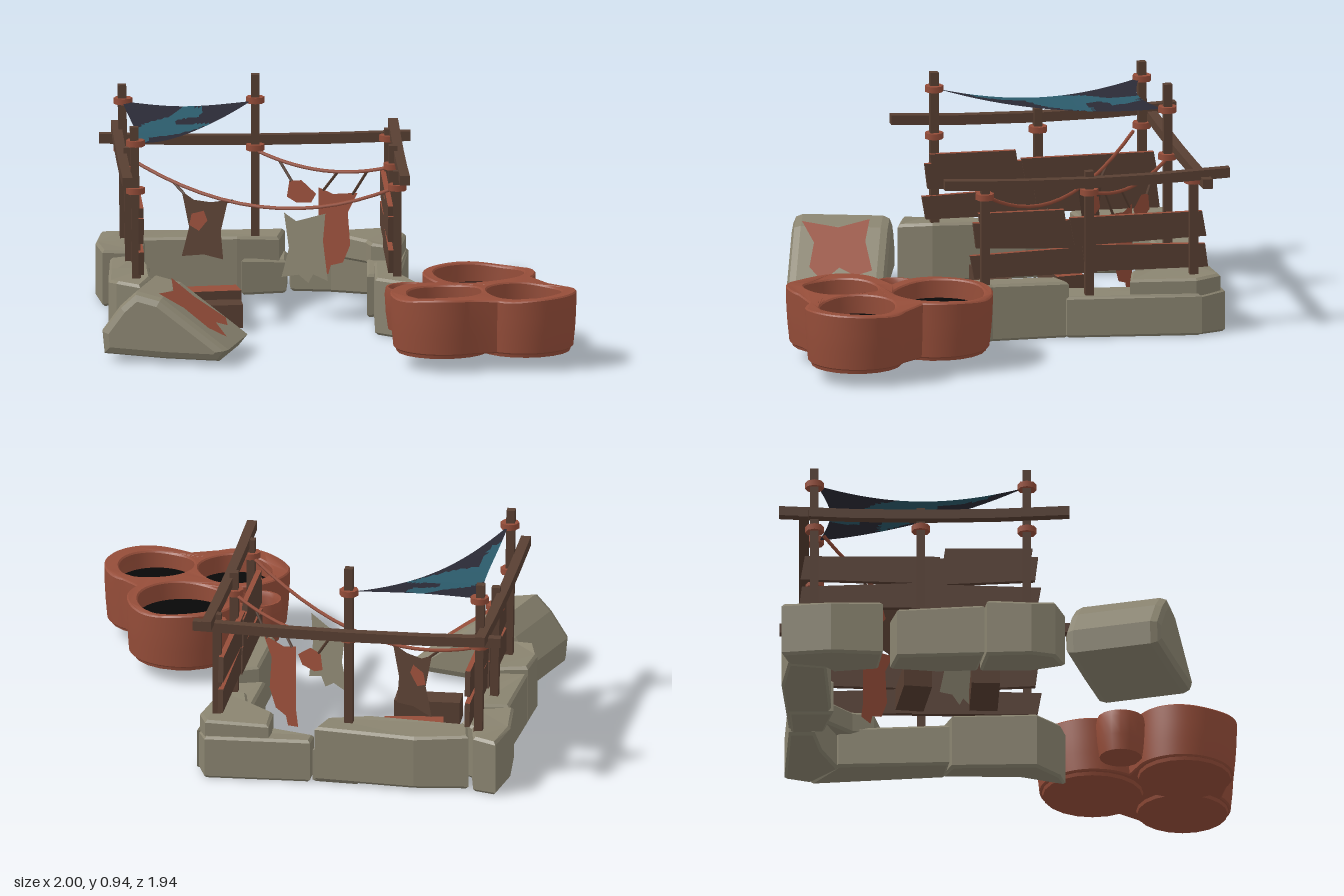
import * as THREE from 'three';
import { toCreasedNormals } from 'three/addons/utils/BufferGeometryUtils.js';

const mat = (name, color, side = THREE.FrontSide) => {
  const m = new THREE.MeshStandardMaterial({ color, side });
  m.name = name;
  return m;
};

export function createModel() {
  const root = new THREE.Group();
  const D = THREE.DoubleSide;
  const stone = mat('stone', 0x8a8470, D), wood = mat('darkWood', 0x583f32, D);
  const clay = mat('redClay', 0x954d39, D), black = mat('blackLiquid', 0x080808);
  const teal = mat('tealCloth', 0x2b5a6a, D), navy = mat('navyCloth', 0x2a2a35, D);

  const add = (name, geo, material, parent = root) => {
    const m = new THREE.Mesh(geo, material);
    m.name = name;
    parent.add(m);
    return m;
  };
  const toShape = (pts) => new THREE.Shape(pts.map(([x, y]) => new THREE.Vector2(x, y)));
  const V = (x, y, z) => new THREE.Vector3(x, y, z);
  const warp = (geo, fn) => {
    const p = geo.attributes.position, v = V(0, 0, 0);
    for (let i = 0; i < p.count; i++) {
      fn(v.fromBufferAttribute(p, i));
      p.setXYZ(i, v.x, v.y, v.z);
    }
    geo.computeVertexNormals();
    return geo;
  };

  // Rough-hewn wall stones: bevelled plans, slightly uneven on top
  const block = (name, plan, y0, y1, b = 0.011) => {
    const geo = new THREE.ExtrudeGeometry(toShape(plan.map(([x, z]) => [x, -z])), {
      depth: y1 - y0 - 2 * b, bevelSize: b, bevelThickness: b, bevelOffset: -b, bevelSegments: 1,
    });
    geo.rotateX(-Math.PI / 2).translate(0, y0 + b, 0);
    add(name, warp(geo, (v) => {
      if (v.y > y0 + 0.05) v.y += 0.007 * Math.sin(v.x * 17 + v.z * 23);
    }), stone);
  };
  block('backStoneRight', [[-0.83, -0.93], [-0.6, -0.96], [-0.17, -0.93], [-0.2, -0.78], [-0.38, -0.75], [-0.8, -0.77]], 0.01, 0.245);
  block('backStoneFoot', [[-0.36, -0.93], [-0.16, -0.92], [-0.17, -0.78], [-0.36, -0.74]], 0, 0.15);
  block('backStoneLeft', [[-0.15, -0.93], [0.3, -0.95], [0.34, -0.84], [0.2, -0.72], [0.02, -0.79], [-0.15, -0.82]], 0, 0.18);
  block('cornerStone', [[0.03, -0.92], [0.3, -0.93], [0.34, -0.82], [0.3, -0.54], [0.18, -0.57], [0.16, -0.66], [0.03, -0.79]], 0.15, 0.25);
  block('leftWallStoneBack', [[0.17, -0.72], [0.35, -0.84], [0.29, -0.27], [0.15, -0.25]], 0, 0.185);
  block('leftWallStoneFront', [[0.18, -0.24], [0.28, -0.28], [0.29, 0.05], [0.36, 0.24], [0.28, 0.22], [0.17, 0.12]], 0, 0.25);
  block('rightWallStoneBack', [[-0.95, -0.96], [-0.85, -0.93], [-0.82, -0.78], [-0.77, -0.74], [-0.8, -0.55], [-0.96, -0.53], [-0.98, -0.75]], 0, 0.24);
  block('rightWallStoneMiddle', [[-0.93, -0.47], [-0.8, -0.5], [-0.77, -0.3], [-0.78, -0.13], [-0.95, -0.1]], 0, 0.23);
  block('rightWallStoneFront', [[-0.95, -0.09], [-0.78, -0.12], [-0.78, 0.1], [-0.83, 0.24], [-0.93, 0.2], [-0.96, 0.1]], 0, 0.25);

  // Posts with lashed collars
  const posts = [
    [-0.86, -0.82, 0.9, 0.83], [-0.845, 0.08, 0.9, 0.83], [-0.3, -0.82, 0.94, 0.83],
    [-0.855, -0.37, 0.72, 0.63], [0.265, 0.08, 0.7, 0.63], [0.265, -0.37, 0.72, 0.63], [0.265, -0.82, 0.7, 0.66],
  ];
  const collar = (x, y, z) => add('collar', new THREE.CylinderGeometry(0.04, 0.04, 0.026, 8).toNonIndexed(), clay).position.set(x, y, z);
  for (const [x, z, top, ring] of posts) {
    const h = top - 0.18;
    const post = add('post', new THREE.BoxGeometry(0.036, h, 0.036), wood);
    post.position.set(x, 0.18 + h / 2, z);
    post.rotation.z = x < -0.5 ? 0.015 : 0;
    collar(x, ring, z);
    if (top > 0.8) collar(x, 0.625, z);
  }

  // Sagging top beams
  const beam = (name, len, sag) => {
    const geo = new THREE.BoxGeometry(0.042, 0.042, len, 1, 1, 4);
    return add(name, warp(geo, (v) => { v.y += sag * ((2 * v.z / len) ** 2 - 0.5); }), wood);
  };
  beam('leftBeam', 1.23, 0.018).position.set(0.29, 0.685, -0.355);
  beam('rightBeam', 1.23, 0.018).position.set(-0.885, 0.685, -0.355);
  const rear = beam('backBeam', 1.32, 0.012);
  rear.rotation.y = Math.PI / 2;
  rear.position.set(-0.3, 0.655, -0.865);

  // Side planks: z start, z end, bottom, top, tilt; ends taper unevenly
  const plankRows = [
    [0.13, -0.4, 0.265, 0.38, 0.02], [-0.35, -0.88, 0.272, 0.388, -0.02],
    [0.12, -0.37, 0.385, 0.51, -0.03], [-0.3, -0.87, 0.395, 0.52, 0.02], [0.1, -0.27, 0.5, 0.552, -0.01],
  ];
  const edged = [wood, wood, clay, wood, wood, wood];
  for (const [side, x] of [['left', 0.236], ['right', -0.822]]) {
    plankRows.forEach(([za, zb, y0, y1, tilt], i) => {
      const len = za - zb;
      const geo = warp(new THREE.BoxGeometry(0.022, y1 - y0, len), (v) => {
        if (v.z * (i % 2 ? -1 : 1) > 0) v.y *= 0.87;
        v.z += v.y * 0.15;
      });
      const p = add(side + 'Plank', geo, edged);
      p.position.set(x + (i % 2) * 0.006, (y0 + y1) / 2, (za + zb) / 2);
      p.rotation.x = tilt;
    });
  }

  // Low benches
  const bench = (name, x, z, w, d, turn, m) => {
    const b = add(name, new THREE.BoxGeometry(w, 0.1, d), m);
    b.position.set(x, 0.05, z);
    b.rotation.y = turn;
  };
  bench('frontBench', -0.525, -0.1, 0.28, 0.12, 0.04, wood);
  bench('backBench', -0.51, -0.4, 0.25, 0.12, 0.15, edged);

  // Slack ropes across the yard
  const rope = (name, a, b, midY, r = 0.008) => {
    const c = a.clone().lerp(b, 0.5);
    c.y = 2 * midY - c.y;
    add(name, new THREE.TubeGeometry(new THREE.QuadraticBezierCurve3(a, c, b), 14, r, 5), clay);
  };
  rope('longRope', V(-0.85, 0.6, -0.78), V(0.25, 0.62, 0.06), 0.46);
  rope('shortRope', V(-0.29, 0.61, -0.81), V(0.25, 0.62, -0.39), 0.565);

  // Hides hanging in the vertical plane below each rope
  const longZ = (x) => -0.78 + (x + 0.85) * 0.764;
  const shortZ = (x) => -0.81 + (x + 0.29) * 0.778;
  const hide = (name, pts, zAt, material, off = 0) => add(name,
    warp(new THREE.ShapeGeometry(toShape(pts)), (v) => { v.z = zAt(v.x) + off; }), material);
  hide('brownHide', [[-0.62, 0.48], [-0.57, 0.45], [-0.5, 0.45], [-0.43, 0.47], [-0.46, 0.33], [-0.45, 0.21], [-0.53, 0.22], [-0.62, 0.2], [-0.59, 0.33]], longZ, wood);
  for (const off of [0.005, -0.005])
    hide('hidePatch', [[-0.58, 0.39], [-0.53, 0.41], [-0.515, 0.37], [-0.55, 0.32], [-0.59, 0.34]], longZ, clay, off);
  hide('greyHide', [[-0.2, 0.45], [-0.15, 0.42], [-0.03, 0.47], [-0.04, 0.35], [-0.02, 0.18], [-0.08, 0.2], [-0.1, 0.16], [-0.14, 0.19], [-0.21, 0.17], [-0.18, 0.3]], longZ, stone);
  hide('redHide', [[-0.04, 0.49], [0.02, 0.47], [0.12, 0.49], [0.08, 0.4], [0.09, 0.26], [0.06, 0.18], [0.01, 0.16], [0, 0.12], [-0.05, 0.13], [-0.04, 0.2], [-0.04, 0.33]], shortZ, clay);
  hide('smallHide', [[-0.16, 0.5], [-0.11, 0.51], [-0.05, 0.46], [-0.07, 0.42], [-0.13, 0.41], [-0.17, 0.43]], shortZ, clay);
  for (const [xa, ya, xb, yb, zAt] of [
    [-0.2, 0.58, -0.15, 0.5, shortZ], [0.04, 0.57, -0.02, 0.48, shortZ], [0.16, 0.59, 0.1, 0.48, shortZ],
    [-0.66, 0.52, -0.61, 0.47, longZ], [-0.41, 0.47, -0.44, 0.46, longZ],
  ]) add('hideString', new THREE.TubeGeometry(new THREE.LineCurve3(V(xa, ya, zAt(xa)), V(xb, yb, zAt(xb))), 1, 0.006, 4), wood);

  // Triangular sail in two cloth colours, sagging along its length
  const A = V(-0.865, 0, -0.81), B = V(-0.32, 0, -0.8), C = V(-0.84, 0, 0.07);
  const G = A.clone().add(B).add(C).divideScalar(3), N = 30;
  const sailPoint = (i, j) => {
    const b = i / N, c = j / N, a = 1 - b - c, s = a * b + b * c + c * a;
    const p = V(0, 0, 0).addScaledVector(A, a).addScaledVector(B, b).addScaledVector(C, c).lerp(G, 0.7 * s);
    p.y = 0.775 + 0.052 * ((p.z + 0.37) / 0.43) ** 2;
    return p;
  };
  const blot = [[-0.83, -0.45], [-0.77, -0.57], [-0.67, -0.64], [-0.61, -0.75], [-0.52, -0.74], [-0.545, -0.64], [-0.64, -0.6],
    [-0.65, -0.535], [-0.5, -0.55], [-0.58, -0.44], [-0.67, -0.35], [-0.77, -0.29], [-0.79, -0.11], [-0.85, -0.04]];
  const inBlot = (x, z) => blot.reduce((inside, [xa, za], i) => {
    const [xb, zb] = blot[(i + 1) % blot.length];
    return (za > z) !== (zb > z) && x < xa + (xb - xa) * (z - za) / (zb - za) ? !inside : inside;
  }, false);
  const cloth = { teal: [], navy: [] };
  const tri = (...p) => {
    const x = (p[0].x + p[1].x + p[2].x) / 3, z = (p[0].z + p[1].z + p[2].z) / 3;
    cloth[inBlot(x, z) ? 'teal' : 'navy'].push(...p);
  };
  for (let i = 0; i < N; i++) for (let j = 0; j < N - i; j++) {
    tri(sailPoint(i, j), sailPoint(i, j + 1), sailPoint(i + 1, j));
    if (i + j < N - 1) tri(sailPoint(i + 1, j), sailPoint(i, j + 1), sailPoint(i + 1, j + 1));
  }
  for (const [name, m] of [['teal', teal], ['navy', navy]]) {
    const geo = new THREE.BufferGeometry().setFromPoints(cloth[name]);
    geo.computeVertexNormals();
    add(name + 'Sail', geo, m);
  }

  // Boulder with a hide drying on its slope
  const boulder = new THREE.Group();
  boulder.name = 'boulder';
  boulder.position.set(-0.69, 0, 0.515);
  boulder.rotation.y = -0.28;
  root.add(boulder);
  const rock = new THREE.ExtrudeGeometry(toShape([[-0.27, 0.03], [0.0, 0.02], [0.23, 0.02], [0.27, 0.07], [-0.02, 0.28], [-0.13, 0.305], [-0.2, 0.24], [-0.28, 0.13]]),
    { depth: 0.34, bevelSize: 0.035, bevelThickness: 0.04, bevelOffset: -0.035, bevelSegments: 2 });
  rock.translate(0, 0, -0.17);
  add('rock', rock, stone, boulder);
  const skin = new THREE.ShapeGeometry(toShape([[-0.05, 0.12], [0.05, 0.11], [0.18, 0.15], [0.205, 0.08], [0.17, 0.01],
    [0.235, -0.056], [0.17, -0.117], [0.06, -0.107], [-0.035, -0.166], [-0.01, -0.01]]));
  skin.rotateX(-Math.PI / 2);
  add('dryingHide', warp(skin, (v) => { v.y = 0.272 - 0.724 * v.x; }), clay, boulder);

  // Three clay vats fused into one body: x, z, radius, arc start and end in degrees, opening x, z, radius
  const vats = [
    [0.6, 0.355, 0.24, -25, 220, 0.6, 0.345, 0.192],
    [0.43, 0.745, 0.222, 125, 300, 0.438, 0.735, 0.158],
    [0.78, 0.735, 0.218, 235, 420, 0.775, 0.73, 0.16],
  ];
  const outline = new THREE.Shape();
  const pool = (x, y, z, r) => {
    const p = add('vatLiquid', new THREE.CircleGeometry(r, 24), black);
    p.rotation.x = -Math.PI / 2;
    p.position.set(x, y, z);
  };
  for (const [x, z, r, from, to, hx, hz, hr] of vats) {
    outline.absarc(x, -z, r, THREE.MathUtils.degToRad(from), THREE.MathUtils.degToRad(to), false);
    outline.holes.push(new THREE.Path().absarc(hx, -hz, hr, 0, Math.PI * 2, true));
    const base = new THREE.CylinderGeometry(r * 0.94, r * 0.88, 0.05, 20);
    add('vatBase', base, clay).position.set(x, 0.085, z);
    pool(hx, 0.235, hz, hr + 0.004);
  }
  const body = new THREE.ExtrudeGeometry(outline, {
    depth: 0.223, steps: 3, curveSegments: 20, bevelSize: 0.006, bevelThickness: 0.006, bevelOffset: -0.006, bevelSegments: 1,
  });
  body.rotateX(-Math.PI / 2).translate(0, 0.081, 0);
  warp(body, (v) => {
    const f = 1 - 0.04 * ((0.31 - v.y) / 0.25) ** 2;
    v.x = 0.6 + (v.x - 0.6) * f;
    v.z = 0.56 + (v.z - 0.56) * f;
    if (v.y > 0.25) v.y += 0.007 * Math.sin(v.x * 13 + v.z * 9);
  });
  add('vatBody', toCreasedNormals(body, 0.6), clay);

  // Small vat at the side
  const profile = [[0, 0.1], [0.09, 0.1], [0.1, 0.17], [0.105, 0.25], [0.1, 0.28], [0.09, 0.28], [0.08, 0.26], [0.08, 0.19]]
    .map(([a, b]) => new THREE.Vector2(a, b));
  add('smallVat', toCreasedNormals(new THREE.LatheGeometry(profile, 16), 0.6), clay).position.set(0.3, 0, 0.475);
  pool(0.3, 0.21, 0.475, 0.083);

  return root;
}
